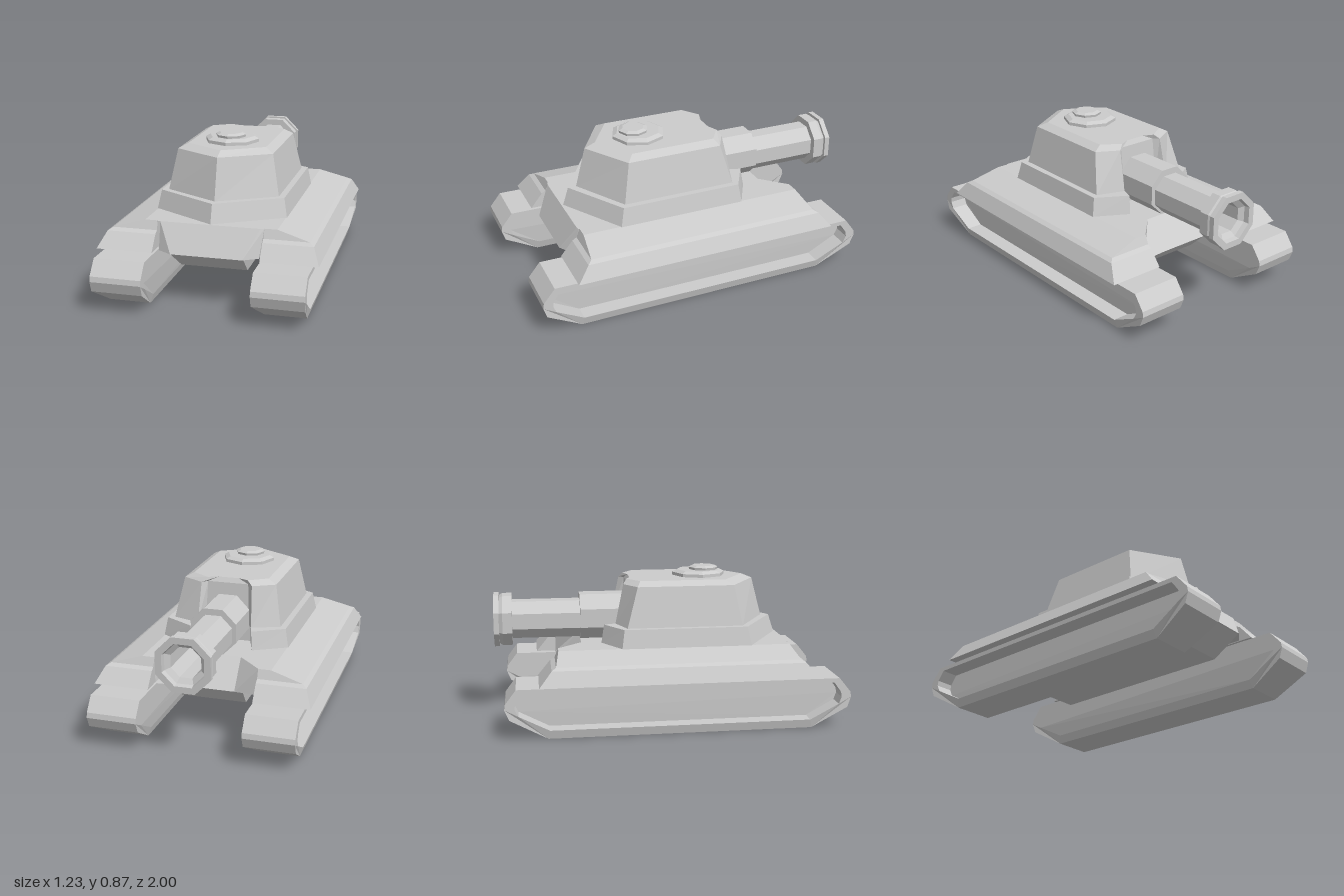
import * as THREE from 'three';

const material = new THREE.MeshStandardMaterial({ color: 0xcccccc, flatShading: true });

function add(parent, name, geometry) {
  const mesh = new THREE.Mesh(geometry, material);
  mesh.name = name;
  parent.add(mesh);
  return mesh;
}

// Completes a half outline of [x, z] points (front to rear, x >= 0) with its mirror image
function mirrored(half) {
  const other = half.filter(([x]) => x > 0).reverse().map(([x, z]) => [-x, z]);
  return [...half, ...other];
}

// Skins stacked horizontal outlines, given bottom to top as { y, ring }, and caps both ends
function loft(levels) {
  const positions = [];
  const index = [];
  const n = levels[0].ring.length;
  for (const { y, ring } of levels) for (const [x, z] of ring) positions.push(x, y, z);
  for (let l = 0; l < levels.length - 1; l++) {
    for (let i = 0; i < n; i++) {
      const a = l * n + i, b = l * n + (i + 1) % n;
      index.push(a, b, b + n, a, b + n, a + n);
    }
  }
  const cap = (level, flip) => {
    const contour = levels[level].ring.map(([x, z]) => new THREE.Vector2(x, -z));
    for (const [a, b, c] of THREE.ShapeUtils.triangulateShape(contour, [])) {
      const t = flip ? [a, c, b] : [a, b, c];
      index.push(...t.map((v) => v + level * n));
    }
  };
  cap(0, true);
  cap(levels.length - 1, false);
  const geometry = new THREE.BufferGeometry();
  geometry.setAttribute('position', new THREE.Float32BufferAttribute(positions, 3));
  geometry.setIndex(index);
  geometry.computeVertexNormals();
  return geometry;
}

// Eight-sided turned part from [radius, height] points
function turned(profile, startAngle) {
  const points = profile.map(([r, h]) => new THREE.Vector2(r, h));
  return new THREE.LatheGeometry(points, 8, startAngle);
}

// Side profile of [z, y] points extruded across x, narrowing towards the ground
function trackExtrusion(outline, hole, x0, x1) {
  const toPoints = (list) => list.map(([z, y]) => new THREE.Vector2(-z, y));
  const shape = new THREE.Shape(toPoints(outline));
  if (hole) shape.holes.push(new THREE.Path(toPoints(hole)));
  const geometry = new THREE.ExtrudeGeometry(shape, { depth: x1 - x0, bevelEnabled: false });
  geometry.rotateY(Math.PI / 2).translate(x0, 0, 0);
  const p = geometry.attributes.position;
  const middle = 0.4375;
  for (let i = 0; i < p.count; i++) {
    const drop = Math.max(0, (0.12 - p.getY(i)) / 0.12);
    p.setX(i, middle + (p.getX(i) - middle) * (1 - 0.18 * Math.pow(drop, 1.5)));
  }
  geometry.computeVertexNormals();
  return geometry;
}

// Track with a recessed outer face, and the fender above it
function createSide(name) {
  const side = new THREE.Group();
  side.name = name;
  const outer = [[0.93, 0.29], [0.995, 0.21], [1, 0.18], [0.98, 0.12], [0.78, 0],
    [-0.71, 0], [-0.92, 0.12], [-0.945, 0.18], [-0.94, 0.21], [-0.88, 0.29]];
  const inner = [[0.9, 0.265], [0.94, 0.21], [0.945, 0.18], [0.93, 0.14], [0.77, 0.05],
    [-0.7, 0.05], [-0.87, 0.14], [-0.89, 0.18], [-0.885, 0.21], [-0.845, 0.265]];
  add(side, 'trackBand', trackExtrusion(outer, inner, 0.295, 0.58));
  add(side, 'trackPlate', trackExtrusion(inner, null, 0.295, 0.48));

  const fenderRing = (x, front, rear) => [[0.298, front], [x, front], [x, rear], [0.298, rear]];
  add(side, 'fender', loft([
    { y: 0.3, ring: fenderRing(0.615, 0.805, -0.755) },
    { y: 0.385, ring: fenderRing(0.575, 0.735, -0.685) },
    { y: 0.4, ring: fenderRing(0.55, 0.71, -0.66) },
    { y: 0.45, ring: fenderRing(0.37, 0.69, -0.64) },
  ]));
  return side;
}

export function createModel() {
  const model = new THREE.Group();
  model.name = 'tank';

  // Tracks and fenders
  const left = createSide('leftSide');
  const right = createSide('rightSide');
  right.scale.x = -1;
  model.add(left, right);

  // Hull between the fenders, with a pointed nose and a sloped rear deck
  add(model, 'hull', loft([
    { y: 0.295, ring: mirrored([[0.2, 0.785], [0.28, 0.735], [0.3, -0.64], [0.16, -0.63]]) },
    { y: 0.45, ring: mirrored([[0.28, 0.7], [0.3, 0.695], [0.3, -0.64], [0.16, -0.5]]) },
  ]));
  // Narrower belly hanging between the tracks
  add(model, 'belly', loft([
    { y: 0.18, ring: mirrored([[0.19, 0.62], [0.19, -0.5]]) },
    { y: 0.298, ring: mirrored([[0.205, 0.78], [0.205, -0.62]]) },
  ]));

  // Turret: skirt and body share a six-sided plan notched at the gun
  const turret = new THREE.Group();
  turret.name = 'turret';
  model.add(turret);
  add(turret, 'turretSkirt', loft([
    { y: 0.448, ring: mirrored([[0, 0.69], [0.375, 0.468], [0.375, -0.28], [0.19, -0.385], [0.14, -0.24]]) },
    { y: 0.555, ring: mirrored([[0, 0.655], [0.355, 0.445], [0.355, -0.265], [0.18, -0.367], [0.14, -0.24]]) },
  ]));
  add(turret, 'turretBody', loft([
    { y: 0.55, ring: mirrored([[0, 0.607], [0.32, 0.425], [0.32, -0.245], [0.16, -0.3], [0.13, -0.24]]) },
    { y: 0.785, ring: mirrored([[0, 0.545], [0.275, 0.38], [0.275, -0.18], [0.15, -0.25], [0.12, -0.22]]) },
    { y: 0.812, ring: mirrored([[0, 0.48], [0.225, 0.34], [0.225, -0.16], [0.12, -0.23], [0.06, -0.205]]) },
  ]));

  // Hatch: wide base ring and a small lid set slightly forward
  add(turret, 'hatchBase', turned([[0, 0], [0.157, 0], [0.157, 0.02], [0.13, 0.034], [0, 0.034]], 0))
    .position.set(0, 0.81, 0.217);
  add(turret, 'hatchLid', turned([[0, 0], [0.085, 0], [0.088, 0.015], [0.065, 0.025], [0, 0.025]], 0))
    .position.set(0, 0.843, 0.247);

  // Gun pointing to the rear: mantlet, then hollow barrel with a flared muzzle
  const gun = new THREE.Group();
  gun.name = 'gun';
  gun.position.y = 0.57;
  gun.rotation.x = -Math.PI / 2;
  turret.add(gun);
  const flatTop = Math.PI / 8;
  add(gun, 'mantlet', turned([[0, 0.18], [0.142, 0.18], [0.142, 0.5], [0, 0.5]], flatTop))
    .position.z = 0.013;
  add(gun, 'barrel', turned([
    [0, 0.45], [0.117, 0.45], [0.117, 0.895], [0.157, 0.895], [0.157, 0.95],
    [0.145, 0.97], [0.163, 0.97], [0.163, 1], [0.125, 1], [0.12, 0.97], [0.09, 0.95], [0.09, 0.6], [0, 0.6],
  ], flatTop));

  return model;
}
